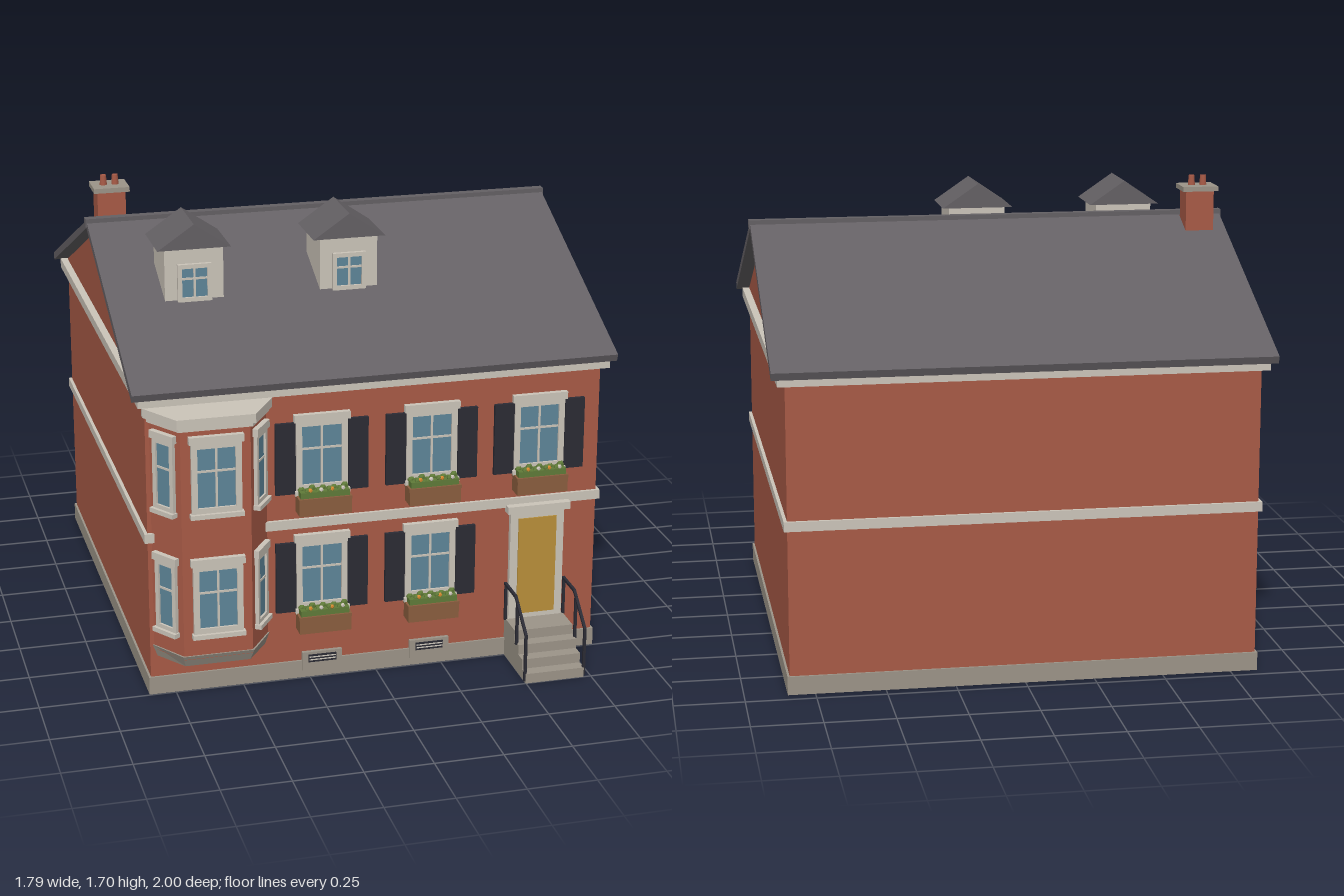
import * as THREE from 'three';

const mat = (name, color) => {
  const m = new THREE.MeshStandardMaterial({ color });
  m.name = name;
  return m;
};

export function createModel() {
  const brick = mat('brick', 0xa85a46), cream = mat('cream trim', 0xcbc4b9), stone = mat('stone', 0x9c9488);
  const slate = mat('slate', 0x646064), dark = mat('dark paint', 0x2b2b34), glass = mat('glass', 0x5d8598);
  const gold = mat('door paint', 0xb88f3a), wood = mat('planter wood', 0x8a5d3e);
  const leaf = mat('leaves', 0x5f7a38), orange = mat('orange flower', 0xd58a30);

  const house = new THREE.Group();
  house.name = 'townhouse';

  const add = (parent, name, geo, m) => {
    const mesh = new THREE.Mesh(geo, m);
    mesh.name = name;
    parent.add(mesh);
    return mesh;
  };
  // Box given by its limits on each axis
  const box = (parent, name, m, x0, x1, y0, y1, z0, z1) => {
    const mesh = add(parent, name, new THREE.BoxGeometry(x1 - x0, y1 - y0, z1 - z0), m);
    mesh.position.set((x0 + x1) / 2, (y0 + y1) / 2, (z0 + z1) / 2);
    return mesh;
  };
  const group = (parent, name, x = 0, y = 0, z = 0) => {
    const g = new THREE.Group();
    g.name = name;
    g.position.set(x, y, z);
    parent.add(g);
    return g;
  };
  const extrude = (pts, depth) => new THREE.ExtrudeGeometry(
    new THREE.Shape(pts.map(p => new THREE.Vector2(...p))), { depth, bevelEnabled: false });
  // Profile of [z, y] points swept across x
  const sweepX = (pts, x0, x1) => extrude(pts, x1 - x0).rotateY(-Math.PI / 2).translate(x1, 0, 0);
  // Plan of [x, z] points raised from y0 to y1
  const raise = (pts, y0, y1) => extrude(pts, y1 - y0).rotateX(Math.PI / 2).translate(0, y1, 0);

  // Walls, plinth and bands
  box(house, 'walls', brick, -0.84, 0.84, 0, 1.13, -0.95, 0.74);
  box(house, 'plinth', stone, -0.848, 0.848, 0.001, 0.068, -0.958, 0.748);
  box(house, 'beltCourse', cream, -0.852, 0.852, 0.595, 0.63, -0.962, 0.752);
  box(house, 'eavesCornice', cream, -0.867, 0.867, 1.11, 1.147, -0.972, 0.767);
  add(house, 'gables', sweepX([[0.74, 1.14], [0.74, 1.15], [-0.107, 1.516], [-0.95, 1.15], [-0.95, 1.14]], -0.84, 0.84), brick);

  // Main roof
  add(house, 'roof', sweepX([[-0.107, 1.547], [-1, 1.165], [-0.99, 1.138], [-0.107, 1.518], [0.775, 1.138], [0.785, 1.165]], -0.89, 0.89), slate);
  box(house, 'ridgeCap', slate, -0.895, 0.895, 1.525, 1.556, -0.124, -0.09);

  // Chimney
  const chimney = group(house, 'chimney', -0.787, 0, -0.183);
  box(chimney, 'stack', brick, -0.053, 0.053, 1.44, 1.642, -0.048, 0.048);
  box(chimney, 'chimneyCap', stone, -0.067, 0.067, 1.642, 1.66, -0.06, 0.06);
  for (const x of [-0.022, 0.022]) {
    add(chimney, 'chimneyPot', new THREE.CylinderGeometry(0.011, 0.014, 0.04, 12), brick).position.set(x, 1.677, 0);
  }

  // Sash: glass, casing and glazing bars, resting on y = 0 against z = 0
  const sash = (parent, w, h, t, bars) => {
    const g = group(parent, 'sash');
    box(g, 'pane', glass, -w / 2 + t / 2, w / 2 - t / 2, t / 2, h - t / 2, 0, 0.006);
    for (const s of [-1, 1]) {
      const x = s * (w - t) / 2;
      box(g, 'jamb', cream, x - t / 2, x + t / 2, 0, h, 0, 0.014);
    }
    box(g, 'bottomRail', cream, -w / 2 + t, w / 2 - t, 0, t, 0, 0.014);
    box(g, 'topRail', cream, -w / 2 + t, w / 2 - t, h - t, h, 0, 0.014);
    if (bars) box(g, 'verticalBar', cream, -0.004, 0.004, t, h - t, 0, 0.01);
    box(g, 'crossBar', cream, -w / 2 + t, w / 2 - t, h * 0.58, h * 0.58 + 0.008, 0, 0.0095);
    return g;
  };
  // Whole window with sill and lintel
  const windowUnit = (parent, w, bars) => {
    const g = group(parent, 'window');
    sash(g, w, 0.265, w > 0.15 ? 0.022 : 0.017, bars).position.y = 0.015;
    box(g, 'sill', cream, -w / 2 - 0.006, w / 2 + 0.006, 0, 0.017, 0, 0.026);
    box(g, 'lintel', cream, -w / 2 - 0.008, w / 2 + 0.008, 0.277, 0.305, 0, 0.02);
    return g;
  };

  // Flower box under a window
  const planter = parent => {
    const g = group(parent, 'flowerBox');
    box(g, 'planter', wood, -0.096, 0.096, -0.064, -0.002, 0.003, 0.066);
    box(g, 'planterRim', wood, -0.098, 0.098, -0.01, 0.002, 0.002, 0.068);
    box(g, 'foliage', leaf, -0.09, 0.09, 0, 0.024, 0.008, 0.06);
    for (let i = 0; i < 9; i++) {
      const x = -0.08 + i * 0.02;
      add(g, 'bush', new THREE.IcosahedronGeometry(0.014, 0), leaf).position.set(x, 0.022 + (i % 3) * 0.003, 0.025 + (i % 2) * 0.022);
      if (i % 2) add(g, 'blossom', new THREE.IcosahedronGeometry(0.009, 0), i % 4 === 1 ? orange : cream).position.set(x + 0.006, 0.03, 0.054);
    }
  };

  // Front windows with shutters
  for (const [x, y] of [[-0.205, 0.725], [0.203, 0.725], [0.61, 0.725], [-0.205, 0.265], [0.203, 0.265]]) {
    const g = windowUnit(house, 0.19, true);
    g.position.set(x, y, 0.74);
    planter(g);
    for (const s of [-1, 1]) {
      const c = s * 0.134;
      box(g, 'shutter', dark, c - 0.037, c + 0.037, 0.005, 0.275, 0, 0.014);
    }
  }

  // Bay window
  const bay = group(house, 'bay', -0.615, 0, 0.74);
  const plan = o => [[-0.21 - o, -0.02], [-0.21 - o, 0], [-0.125 - o * 0.7, 0.126 + o],
    [0.125 + o * 0.7, 0.126 + o], [0.21 + o, 0], [0.21 + o, -0.02]];
  add(bay, 'bayWalls', raise(plan(0), 0.18, 1.06), brick);
  const base = raise(plan(0.006), 0.15, 0.195);
  const p = base.attributes.position;
  for (let i = 0; i < p.count; i++) {
    if (p.getY(i) < 0.17) p.setXYZ(i, p.getX(i) * 0.92, p.getY(i), p.getZ(i) > 0 ? p.getZ(i) * 0.85 : p.getZ(i));
  }
  base.computeVertexNormals();
  add(bay, 'bayBase', base, stone);
  add(bay, 'bayCornice', raise(plan(0.01), 1.05, 1.066), cream);
  add(bay, 'bayCap', raise(plan(0.022), 1.066, 1.1), cream);
  const turn = Math.atan2(0.126, 0.085);
  for (const y of [0.265, 0.725]) {
    windowUnit(bay, 0.18, true).position.set(0, y, 0.126);
    for (const s of [-1, 1]) {
      const g = windowUnit(bay, 0.1, false);
      g.position.set(s * 0.1675, y, 0.063);
      g.rotation.y = s * turn;
    }
  }

  // Dormers
  for (const x of [-0.575, 0]) {
    const g = group(house, 'dormer', x);
    box(g, 'dormerWalls', cream, -0.108, 0.108, 1.35, 1.548, 0.14, 0.342);
    add(g, 'dormerRoof', extrude([[-0.135, 1.546], [0.135, 1.546], [0, 1.638]], 0.235).translate(0, 0, 0.12), slate);
    sash(g, 0.125, 0.14, 0.016, true).position.set(0, 1.35, 0.342);
  }

  // Front door
  const door = group(house, 'entrance', 0.61, 0, 0.74);
  box(door, 'doorSurround', cream, -0.103, 0.103, 0.15, 0.58, 0, 0.02);
  box(door, 'doorLintel', cream, -0.12, 0.12, 0.578, 0.606, 0, 0.04);
  box(door, 'doorPanel', gold, -0.073, 0.073, 0.17, 0.55, 0.018, 0.025);

  // Front steps
  [1.0, 0.955, 0.91, 0.865].forEach((z, i) =>
    box(house, 'step', stone, 0.498, 0.722, 0, 0.0375 * (i + 1), 0.74, z));

  // Handrails
  const rod = (a, b) => {
    const from = new THREE.Vector3(...a), to = new THREE.Vector3(...b);
    const bar = add(house, 'railing', new THREE.BoxGeometry(0.01, from.distanceTo(to) + 0.006, 0.01), dark);
    bar.position.copy(from).add(to).multiplyScalar(0.5);
    bar.quaternion.setFromUnitVectors(new THREE.Vector3(0, 1, 0), to.sub(from).normalize());
  };
  for (const x of [0.497, 0.723]) {
    rod([x, 0.19, 0.993], [x, 0.29, 0.87]);
    rod([x, 0.29, 0.87], [x, 0.29, 0.75]);
    rod([x, 0.01, 0.993], [x, 0.19, 0.993]);
    rod([x, 0.11, 0.89], [x, 0.275, 0.89]);
    rod([x, 0.15, 0.755], [x, 0.29, 0.755]);
  }

  // Cellar vents
  for (const x of [-0.205, 0.203]) {
    const g = group(house, 'cellarVent', x, 0, 0.74);
    box(g, 'ventSurround', stone, -0.075, 0.075, 0.03, 0.102, 0, 0.014);
    box(g, 'ventOpening', dark, -0.052, 0.052, 0.062, 0.092, 0.012, 0.017);
    for (const y of [0.07, 0.081]) box(g, 'ventSlat', cream, -0.05, 0.05, y, y + 0.004, 0.012, 0.019);
  }

  return house;
}
